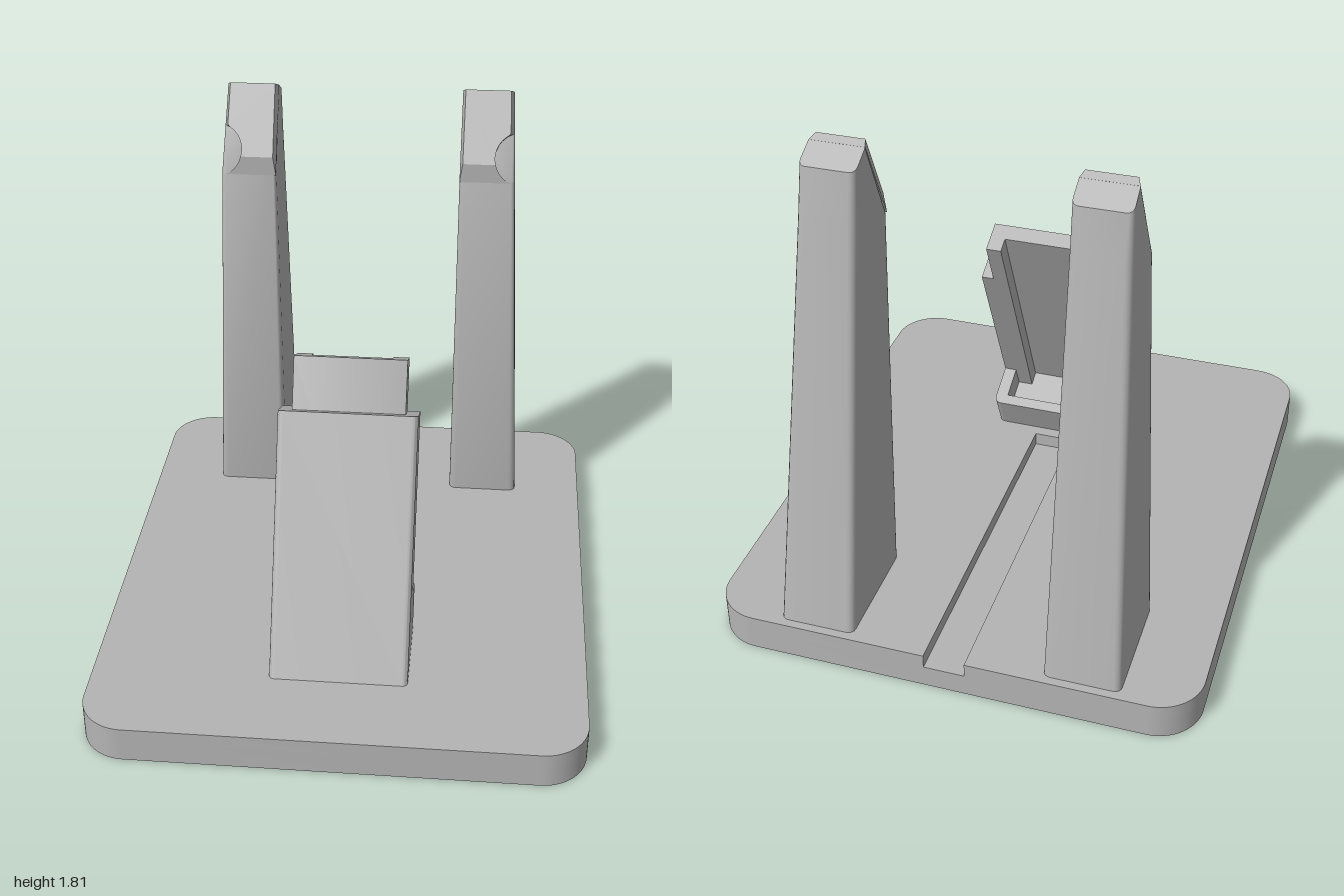
import * as THREE from 'three';
import { toCreasedNormals } from 'three/addons/utils/BufferGeometryUtils.js';

const grey = new THREE.MeshStandardMaterial({ color: 0xb4b4b4 });
grey.name = 'grey';

function add(parent, geometry, name) {
  const mesh = new THREE.Mesh(toCreasedNormals(geometry, 0.6), grey);
  mesh.name = name;
  parent.add(mesh);
  return mesh;
}

function polygon(points) {
  return new THREE.Shape(points.map(([x, y]) => new THREE.Vector2(x, y)));
}

function extrude(shape, depth) {
  return new THREE.ExtrudeGeometry(shape, { depth, bevelEnabled: false, curveSegments: 10 });
}

// ---- base with a cable groove running in from the back
const BASE_TOP = 0.13;
function baseShape(groove) {
  const w = 0.855, d = 1, r = 0.16, s = new THREE.Shape();
  s.moveTo(-w + r, -d);
  s.lineTo(w - r, -d);
  s.absarc(w - r, -d + r, r, -Math.PI / 2, 0);
  s.absarc(w - r, d - r, r, 0, Math.PI / 2);
  if (groove) {
    s.lineTo(0.072, d);
    s.lineTo(0.072, -0.3);
    s.lineTo(-0.072, -0.3);
    s.lineTo(-0.072, d);
  }
  s.absarc(-w + r, d - r, r, Math.PI / 2, Math.PI);
  s.absarc(-w + r, -d + r, r, Math.PI, Math.PI * 1.5);
  return s;
}
function buildBase(parent) {
  const split = 0.08;
  add(parent, extrude(baseShape(false), split).rotateX(-Math.PI / 2), 'baseLower');
  add(parent, extrude(baseShape(true), BASE_TOP - split).rotateX(-Math.PI / 2).translate(0, split, 0), 'baseUpper');
}

// ---- tapered post, with a round bite in the slanted face at its top
const INNER = 0.335;
const outerX = (y) => 0.6 - 0.08 * (y - BASE_TOP) / 1.68;

function postCore() {
  // front z, y; back z, y; front and back edge radius
  const sections = [
    [-0.54, 0.13, -0.97, 0.13, 0.025, 0.025],
    [-0.478, 1.5, -0.7295, 1.6, 0.015, 0.025],
    [-0.618, 1.796, -0.705, 1.75, 0.003, 0.022],
  ];
  const STEPS = 5, N = 4 * STEPS, pos = [], idx = [];
  for (const [zf, yf, zb, yb, rf, rb] of sections) {
    for (let c = 0; c < 4; c++) {
      const right = c === 0 || c === 3, back = c < 2, r = back ? rb : rf;
      for (let k = 0; k < STEPS; k++) {
        const a = (c + k / (STEPS - 1)) * Math.PI / 2;
        const z = (back ? zb + r : zf - r) - r * Math.sin(a);
        const y = yb + (yf - yb) * (z - zb) / (zf - zb);
        pos.push((right ? outerX(y) - r : INNER + r) + r * Math.cos(a), y, z);
      }
    }
  }
  for (let i = 0; i < sections.length - 1; i++) {
    for (let j = 0; j < N; j++) {
      const a = i * N + j, b = i * N + (j + 1) % N;
      idx.push(a, b, a + N, b, b + N, a + N);
    }
  }
  const top = (sections.length - 1) * N;
  for (let j = 1; j < N - 1; j++) {
    idx.push(top, top + j, top + j + 1, 0, j + 1, j);
  }
  const g = new THREE.BufferGeometry();
  g.setAttribute('position', new THREE.Float32BufferAttribute(pos, 3));
  g.setIndex(idx);
  return g;
}

// face layer that surrounds the bite; v runs up the slope, depth points out
const DEPTH = 0.0315, V_LOW = -0.063, V_TOP = 0.266;
const bite = { x: 0.555, v: 0.025, r: 0.095 };
function faceLayer(v0, v1) {
  const vEnd = Math.min(v1, 0.115);
  const pts = [[INNER, v1], [INNER, v0]];
  for (let i = 0; i <= 12; i++) {
    const v = v0 + (vEnd - v0) * i / 12;
    pts.push([bite.x - Math.sqrt(Math.max(0, bite.r ** 2 - (v - bite.v) ** 2)), v]);
  }
  if (v1 > vEnd) pts.push([0.525, vEnd + 0.001], [0.52, v1]);
  const g = extrude(polygon(pts), DEPTH), p = g.attributes.position;
  for (let i = 0; i < p.count; i++) {
    if (p.getZ(i) < DEPTH / 2) continue;
    const x = p.getX(i), v = p.getY(i);
    // the front surface follows the post face below and has softened sides
    p.setZ(i, DEPTH * Math.min(1, (v - V_LOW) / -V_LOW));
    if (x < INNER + 0.001) p.setX(i, x + 0.01);
    if (x > 0.515 && v > 0.1) p.setX(i, x - 0.012);
  }
  const m = new THREE.Matrix4().makeBasis(
    new THREE.Vector3(1, 0, 0),
    new THREE.Vector3(0, 0.902, -0.432),
    new THREE.Vector3(0, 0.432, 0.902));
  m.setPosition(0, 1.5564, -0.5034);
  return g.applyMatrix4(m);
}

function buildPost(parent, side) {
  const post = new THREE.Group();
  post.name = side > 0 ? 'leftPost' : 'rightPost';
  add(post, postCore(), 'postBody');
  add(post, faceLayer(V_LOW, 0), 'postFaceLower');
  add(post, faceLayer(0, V_TOP), 'postFaceUpper');
  post.scale.x = side;
  parent.add(post);
}

// ---- leaning cradle: sections (x, w) swept up the lean, cut level at the base
function leaning(shape, length) {
  const g = extrude(shape, length), p = g.attributes.position;
  for (let i = 0; i < p.count; i++) {
    if (p.getZ(i) < 0.001) p.setZ(i, 0.461 * p.getY(i));
  }
  const m = new THREE.Matrix4().makeBasis(
    new THREE.Vector3(1, 0, 0),
    new THREE.Vector3(0, -0.419, -0.908),
    new THREE.Vector3(0, 0.908, -0.419));
  m.setPosition(0, BASE_TOP, 0.7);
  return g.applyMatrix4(m);
}

// U section: outer half width, inner half width, closed edge, inner floor, open edge
function channel(outer, inner, closed, floor, open, r) {
  const d = Math.sign(open - closed), s = new THREE.Shape();
  s.moveTo(-outer, open);
  s.lineTo(-outer, closed + d * r);
  s.quadraticCurveTo(-outer, closed, -outer + r, closed);
  s.lineTo(outer - r, closed);
  s.quadraticCurveTo(outer, closed, outer, closed + d * r);
  s.lineTo(outer, open);
  s.lineTo(inner, open);
  s.lineTo(inner, floor);
  s.lineTo(-inner, floor);
  s.lineTo(-inner, open);
  return s;
}

function buildCradle(parent) {
  const cradle = new THREE.Group();
  cradle.name = 'cradle';
  add(cradle, leaning(channel(0.24, 0.195, 0, 0.046, 0.162, 0.02), 0.931), 'cradleShell');
  add(cradle, leaning(channel(0.195, 0.14, 0.046, 0.107, 0.162, 0.001), 1.117), 'cradleInsert');
  add(cradle, leaning(channel(0.24, 0.195, 0.322, 0.282, 0.162, 0.03), 0.293), 'cradleLip');
  add(cradle, leaning(polygon([[-0.195, 0.107], [0.195, 0.107], [0.195, 0.282], [-0.195, 0.282]]), 0.2), 'cradlePocketFloor');
  parent.add(cradle);
}

export function createModel() {
  const model = new THREE.Group();
  model.name = 'deskStand';
  buildBase(model);
  for (const side of [1, -1]) buildPost(model, side);
  buildCradle(model);
  return model;
}
